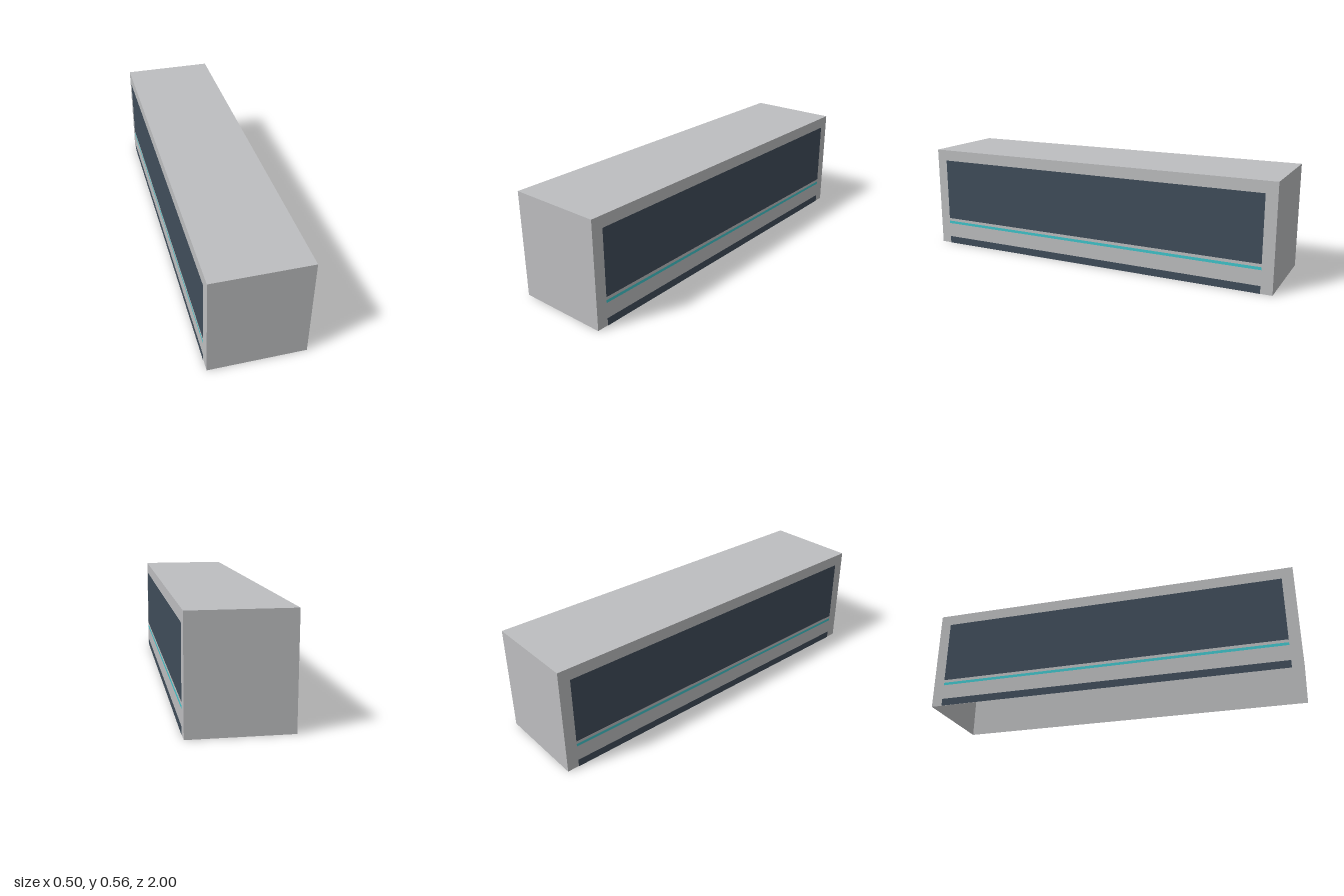
import * as THREE from 'three';

const WIDTH = 0.5, HEIGHT = 0.56, LENGTH = 2;

export function createModel() {
  const model = new THREE.Group();
  model.name = 'carriage';

  const paint = (name, color, side = THREE.FrontSide) => {
    const material = new THREE.MeshStandardMaterial({ color, side });
    material.name = name;
    return material;
  };
  const silver = paint('silverGrey', 0xbdbec0, THREE.DoubleSide);
  const slate = paint('darkSlate', 0x404d5a);
  const cyan = paint('cyan', 0x40c5cb);

  // Body shell: thin-walled box, open underneath
  const shell = new THREE.BoxGeometry(WIDTH, HEIGHT, LENGTH);
  const index = Array.from(shell.index.array);
  index.splice(18, 6); // drop the floor face
  shell.setIndex(index);
  shell.clearGroups();
  const body = new THREE.Mesh(shell, silver);
  body.name = 'bodyShell';
  body.position.y = HEIGHT / 2;
  model.add(body);

  // Painted bands on both long sides: name, bottom, top, material
  const bands = [
    ['windowBand', 0.152, 0.5, slate],
    ['stripe', 0.121, 0.136, cyan],
    ['skirt', 0, 0.04, slate],
  ];
  for (const side of [1, -1]) {
    for (const [name, bottom, top, material] of bands) {
      const band = new THREE.Mesh(new THREE.PlaneGeometry(1.88, top - bottom), material);
      band.name = name + (side > 0 ? 'Left' : 'Right');
      band.rotation.y = side * Math.PI / 2;
      band.position.set(side * (WIDTH / 2 + 0.002), (bottom + top) / 2, 0);
      model.add(band);
    }
  }
  return model;
}
